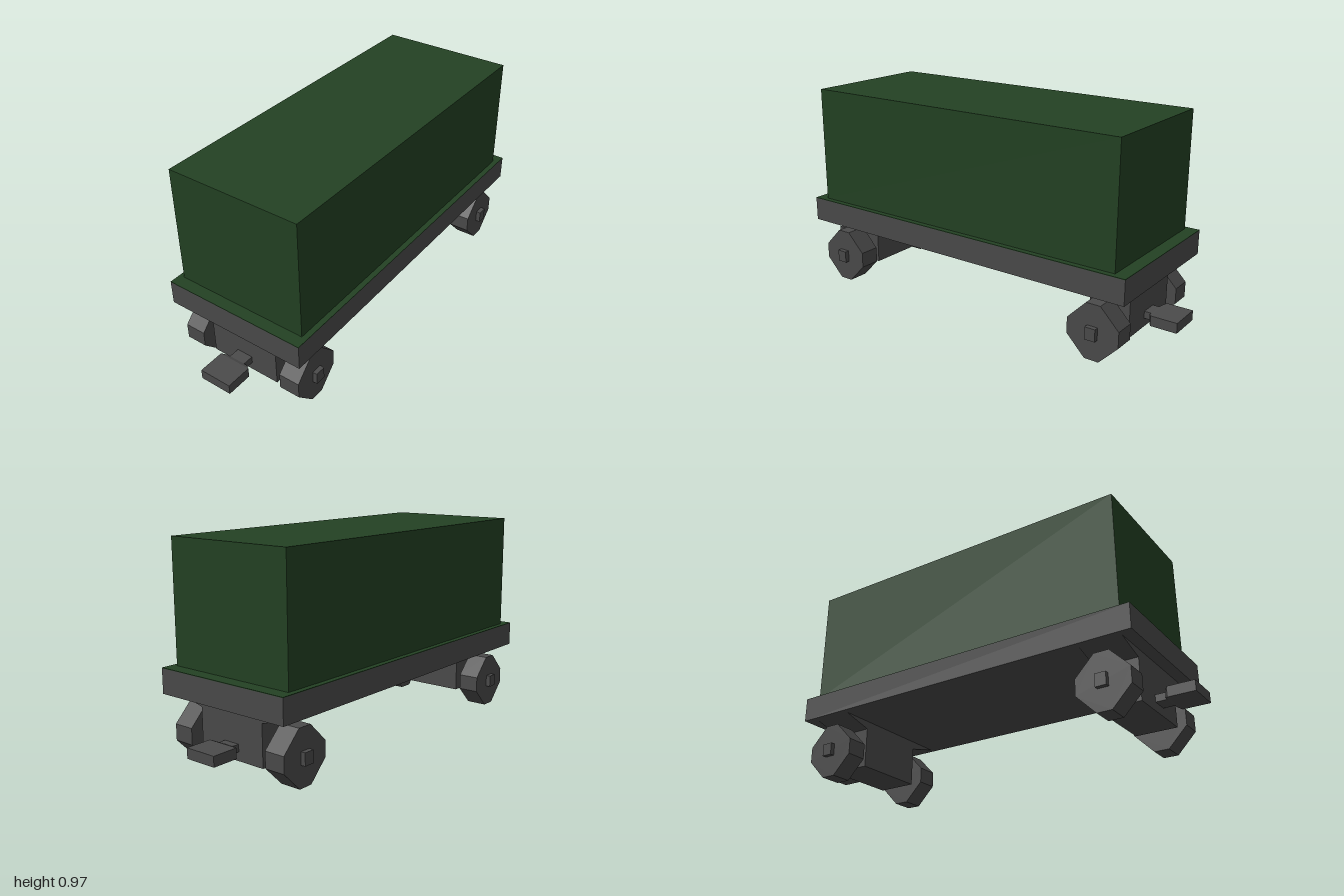
import * as THREE from 'three';

const green = new THREE.MeshStandardMaterial({ color: 0x234223, name: 'dark green' });
const grey = new THREE.MeshStandardMaterial({ color: 0x4b4b4b, name: 'dark grey' });

function add(parent, name, geometry, material, x = 0, y = 0, z = 0) {
  const mesh = new THREE.Mesh(geometry, material);
  mesh.name = name;
  mesh.position.set(x, y, z);
  parent.add(mesh);
  return mesh;
}

const box = (w, h, d) => new THREE.BoxGeometry(w, h, d);

// Polygon extruded by depth, centred on its own z
function prism(points, depth) {
  const shape = new THREE.Shape(points.map(([x, y]) => new THREE.Vector2(x, y)));
  return new THREE.ExtrudeGeometry(shape, { depth, bevelEnabled: false }).translate(0, 0, -depth / 2);
}

// Bolster with flared top, axle and two eight-sided wheels
function makeBogie(name, z) {
  const bogie = new THREE.Group();
  bogie.name = name;
  bogie.position.z = z;

  add(bogie, 'bolster', prism([
    [-0.177, 0.072], [0.177, 0.072], [0.177, 0.262], [0.328, 0.302],
    [-0.328, 0.302], [-0.177, 0.262],
  ], 0.193), grey);
  add(bogie, 'axle', box(0.68, 0.057, 0.05), grey, 0, 0.128, 0);

  const wheel = prism([
    [-0.034, -0.128], [0.034, -0.128], [0.123, -0.037], [0.123, 0.037],
    [0.034, 0.128], [-0.034, 0.128], [-0.123, 0.037], [-0.123, -0.037],
  ], 0.101).rotateY(Math.PI / 2);
  for (const side of [-1, 1]) {
    add(bogie, side > 0 ? 'leftWheel' : 'rightWheel', wheel, grey, side * 0.2675, 0.128, 0);
  }
  return bogie;
}

// Flat coupler head tapering back to a narrow neck, pointing to +z
function makeCoupler(name) {
  const coupler = new THREE.Group();
  coupler.name = name;
  add(coupler, 'couplerHead', box(0.157, 0.047, 0.122), grey, 0, 0.129, 0.939);
  const taper = new THREE.CylinderGeometry(Math.SQRT1_2, 0.7 * Math.SQRT1_2, 0.016, 4)
    .rotateY(Math.PI / 4).rotateX(Math.PI / 2).scale(0.157, 0.047, 1).toNonIndexed();
  taper.computeVertexNormals();
  add(coupler, 'couplerTaper', taper, grey, 0, 0.129, 0.87);
  add(coupler, 'couplerNeck', box(0.08, 0.033, 0.08), grey, 0, 0.129, 0.83);
  return coupler;
}

export function createModel() {
  const model = new THREE.Group();
  model.name = 'boxWagon';

  // Body and deck
  add(model, 'body', box(0.65, 0.555, 1.64), green, 0, 0.6945, -0.01);
  add(model, 'deck', box(0.703, 0.113, 1.756), grey, 0, 0.3575, -0.012);
  add(model, 'deckTop', box(0.703, 0.003, 1.756), green, 0, 0.4155, -0.012);

  // Running gear
  model.add(makeBogie('frontBogie', 0.715), makeBogie('rearBogie', -0.733));

  // Couplers at both ends
  const rearCoupler = makeCoupler('rearCoupler');
  rearCoupler.rotation.y = Math.PI;
  model.add(makeCoupler('frontCoupler'), rearCoupler);

  return model;
}
